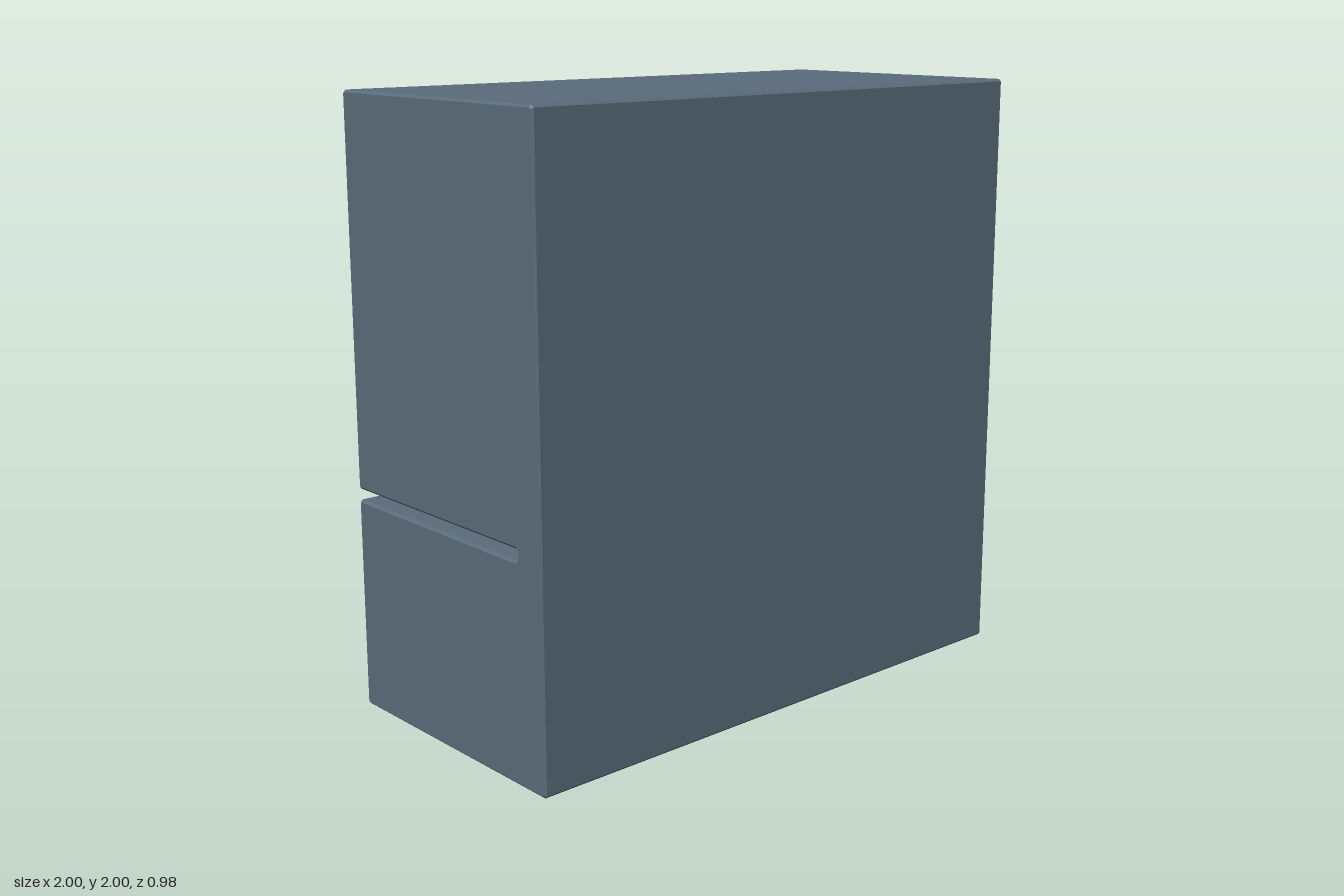
import * as THREE from 'three';

const BEVEL = 0.008;

// Closed profile given as [z, y] corners, each corner cut by a small chamfer
function chamferedProfile(corners, cut) {
  const pts = corners.map(([z, y]) => new THREE.Vector2(-z, y));
  const out = [];
  pts.forEach((p, i) => {
    const prev = pts[(i + pts.length - 1) % pts.length];
    const next = pts[(i + 1) % pts.length];
    for (const q of [prev, next]) {
      out.push(p.clone().add(q.clone().sub(p).setLength(cut)));
    }
  });
  return new THREE.Shape(out);
}

// Extrude a side profile along x from x0 to x1, with optional bevelled ends
function extrudeAlongX(corners, x0, x1, bevel) {
  const geo = new THREE.ExtrudeGeometry(chamferedProfile(corners, BEVEL), {
    depth: x1 - x0 - 2 * bevel,
    bevelEnabled: bevel > 0,
    bevelThickness: bevel,
    bevelSize: bevel,
    bevelOffset: -bevel,
    bevelSegments: 1,
  });
  geo.rotateY(Math.PI / 2);
  geo.translate(x0 + bevel, 0, 0);
  return geo;
}

export function createModel() {
  const group = new THREE.Group();
  const casing = new THREE.MeshStandardMaterial({ color: 0x5a6b7a });
  casing.name = 'slate casing';
  const glass = new THREE.MeshStandardMaterial({ color: 0x83979e });
  glass.name = 'pale glass';
  const trim = new THREE.MeshStandardMaterial({ color: 0xada499 });
  trim.name = 'warm grey trim';

  const add = (name, geo, mat) => {
    const mesh = new THREE.Mesh(geo, mat);
    mesh.name = name;
    group.add(mesh);
    return mesh;
  };
  const addBox = (name, mat, [x0, x1], [y0, y1], [z0, z1]) => {
    const mesh = add(name, new THREE.BoxGeometry(x1 - x0, y1 - y0, z1 - z0), mat);
    mesh.position.set((x0 + x1) / 2, (y0 + y1) / 2, (z0 + z1) / 2);
  };

  const front = 0.49, back = -0.465, inner = 0.38, wall = 0.93;
  const baseTop = 0.7, slotTop = 0.735, ceiling = 1.887;

  // C-shaped core: base block, front panel and roof around the cavity
  add('casingCore', extrudeAlongX([
    [front, 0], [back, 0], [back, baseTop], [inner, baseTop],
    [inner, ceiling], [back, ceiling], [back, 2], [front, 2],
  ], -wall - BEVEL, wall + BEVEL, 0), casing);

  // Side walls, each cut by the long horizontal slot
  const sideProfile = [
    [front, 0], [back, 0], [back, baseTop], [inner, baseTop],
    [inner, slotTop], [back, slotTop], [back, 2], [front, 2],
  ];
  add('leftWall', extrudeAlongX(sideProfile, wall, 1, BEVEL), casing);
  add('rightWall', extrudeAlongX(sideProfile, -1, -wall, BEVEL), casing);

  // Tray on the base and the pane standing above it
  addBox('tray', trim, [-wall, wall], [0.704, 0.77], [-0.388, 0.357]);
  addBox('windowPane', glass, [-wall, wall], [0.77, ceiling], [-0.382, -0.35]);

  // Raised plate on the lower back
  addBox('backPlate', trim, [-0.4, 0.4], [0.255, 0.47], [-0.49, back]);

  return group;
}
